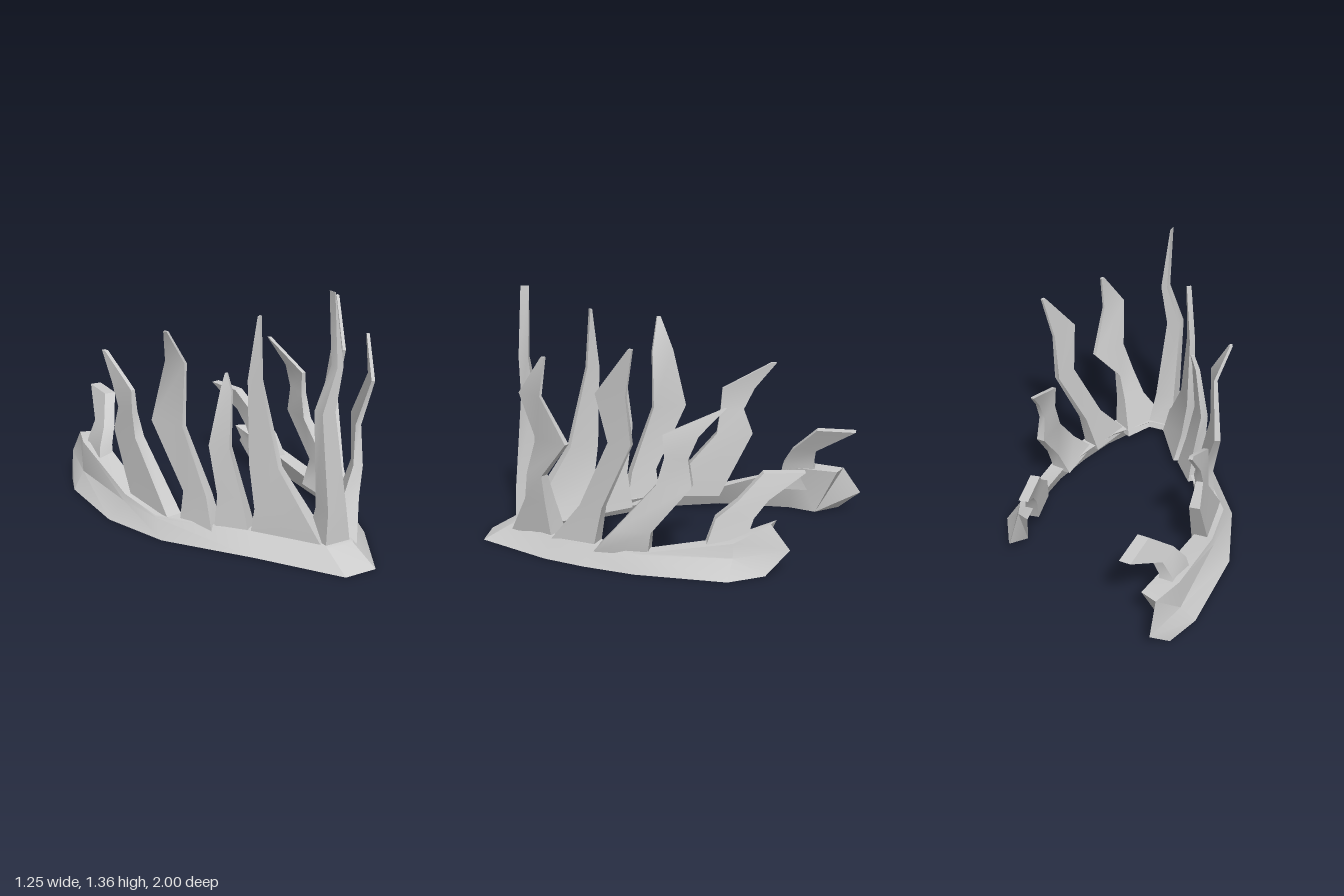
import * as THREE from 'three';
import { toCreasedNormals } from 'three/addons/utils/BufferGeometryUtils.js';

// Skins a list of rings (equal point counts) and caps both ends.
function loft(rings) {
  const n = rings[0].length, index = [];
  for (let i = 0; i < rings.length - 1; i++) {
    for (let j = 0; j < n; j++) {
      const a = i * n + j, b = i * n + (j + 1) % n, c = b + n, d = a + n;
      index.push(a, b, c, a, c, d);
    }
  }
  const top = (rings.length - 1) * n;
  for (let j = 1; j < n - 1; j++) {
    index.push(0, j + 1, j);
    index.push(top, top + j, top + j + 1);
  }
  const geo = new THREE.BufferGeometry();
  geo.setAttribute('position', new THREE.Float32BufferAttribute(rings.flat(2), 3));
  geo.setIndex(index);
  return toCreasedNormals(geo, 0.6);
}

// U-shaped rim. Each station is the outer foot (x, z) and outer ridge (x, z);
// the inner wall lies towards the middle, the ridge climbs to the back and
// the two ends jut out above the ground.
function rim(stations) {
  const inward = (x, y, z) => [x + (0.05 - x) * 0.17, y, z + (-0.1 - z) * 0.17];
  const last = stations.length - 1;
  return loft(stations.map(([fx, fz, rx, rz], i) => {
    const h = Math.min(0.26, 0.1 + 0.5 * Math.min(0, rz) ** 2);
    const jut = i === 0 || i === last ? 0.1 : 0;
    const shoulder = [rx + (fx - rx) * 0.1, 0.09 + jut * 0.25, rz + (fz - rz) * 0.1 - jut];
    const innerTop = inward(rx, h, rz);
    innerTop[2] -= jut;
    return [inward(fx, 0, fz), innerTop, [rx, h, rz], shoulder, [fx, 0, fz]];
  }));
}

// Flame-like blade along rows of centre x, y, z and width. The angle is the
// heading of its width; it is thickened inwards, from foot to tip thickness.
function blade(angle, foot, tip, rows) {
  const dx = Math.cos(angle), dz = Math.sin(angle);
  return loft(rows.map(([x, y, z, w], i) => {
    const t = tip + (foot - tip) * (1 - i / (rows.length - 1)) ** 2.3;
    const h = i === 0 ? y - 0.03 : y;
    const corner = (side, depth) => [x + dx * side * w / 2 + dz * depth, h, z + dz * side * w / 2 - dx * depth];
    return [corner(-1, 0), corner(1, 0), corner(1, t), corner(-1, t)];
  }));
}

export function createModel() {
  const group = new THREE.Group();
  const material = new THREE.MeshStandardMaterial({ color: 0xcccccc });
  const add = (name, geo) => {
    const mesh = new THREE.Mesh(geo, material);
    mesh.name = name;
    group.add(mesh);
  };

  // Rim from the end of the right arm, round the front, to the end of the left arm
  add('base', rim([
    [-.54, -.88, -.47, -.9], [-.61, -.7, -.53, -.73], [-.63, -.22, -.53, -.22],
    [-.52, .16, -.5, .06], [-.23, .58, -.18, .5], [.03, 1, .03, .83],
    [.21, 1, .18, .83], [.43, .62, .37, .6], [.51, .4, .46, .37],
    [.58, .13, .54, .1], [.62, -.34, .52, -.36], [.52, -.52, .44, -.54],
  ]));

  // Front blade
  add('frontBlade', blade(0, .16, .045, [
    [.105, .09, .83, .15], [.095, .27, .83, .11], [.053, .77, .8, .075],
    [.117, .99, .795, .035], [.084, 1.355, .785, .003],
  ]));

  // Right arm, front to back
  add('rightBlade1', blade(1.01, .13, .025, [
    [-.08, .09, .655, .41], [-.1, .22, .62, .28], [-.14, .45, .53, .16],
    [-.16, .88, .47, .07], [-.137, 1.2, .47, .01],
  ]));
  add('rightBlade2', blade(.9, .11, .02, [
    [-.25, .09, .405, .19], [-.25, .26, .385, .13], [-.28, .52, .335, .11],
    [-.237, .8, .33, .06], [-.222, .885, .305, .01],
  ]));
  add('rightBlade3', blade(1.12, .1, .015, [
    [-.37, .09, .25, .2], [-.365, .25, .235, .14], [-.44, .6, .09, .19],
    [-.405, .925, .12, .12], [-.475, 1.1, .15, .02],
  ]));
  add('rightBlade4', blade(1.45, .09, .02, [
    [-.48, .11, -.03, .33], [-.495, .445, -.28, .2], [-.495, .58, -.265, .13],
    [-.495, .7, -.3, .18], [-.5, .85, -.495, .03],
  ]));
  add('rightBlade5', blade(1.63, .09, .06, [
    [-.525, .16, -.66, .25], [-.5, .28, -.65, .17],
    [-.45, .375, -.68, .13], [-.37, .515, -.855, .21],
  ]));

  // Left arm, front to back
  add('leftBlade1', blade(-1.05, .12, .015, [
    [.28, .09, .72, .29], [.325, .275, .685, .14], [.35, .425, .68, .1],
    [.4, .62, .58, .2], [.405, .865, .68, .14], [.435, 1.065, .6, .02],
  ]));
  add('leftBlade2', blade(-1.28, .09, .015, [
    [.41, .1, .485, .26], [.445, .3, .37, .125], [.51, .655, .21, .125],
    [.52, .905, .25, .165], [.58, 1.15, .14, .02],
  ]));
  add('leftBlade3', blade(-1.5, .1, .02, [
    [.51, .11, .21, .28], [.54, .21, .145, .19], [.5, .445, -.06, .18],
    [.49, .585, -.07, .12], [.48, .7, -.09, .18], [.447, .835, -.305, .01],
  ]));
  add('leftBlade4', blade(-1.72, .08, .05, [
    [.49, .15, -.31, .19], [.45, .27, -.36, .19],
    [.42, .36, -.45, .15], [.36, .49, -.6, .21],
  ]));

  return group;
}
